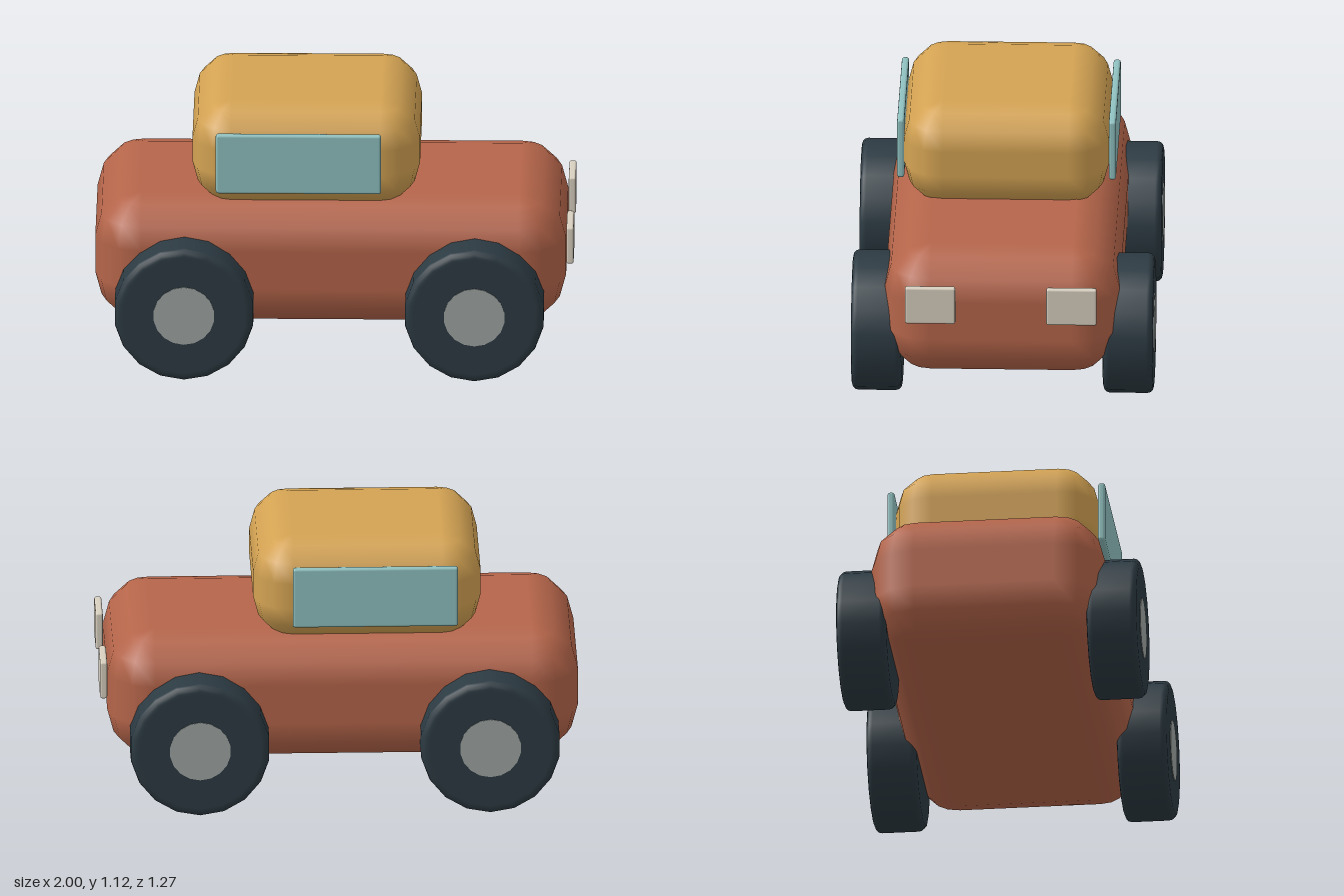
import * as THREE from 'three';

const paint = (color) => new THREE.MeshStandardMaterial({ color });

// Box with edges rounded in three 30-degree steps: a sphere split into octants and pulled apart
function softBox(w, h, d, r) {
  const geo = new THREE.SphereGeometry(1, 16, 9);
  const pos = geo.attributes.position, nor = geo.attributes.normal;
  const step = Math.PI / 6;
  for (let i = 0; i < pos.count; i++) {
    const col = i % 17, row = Math.floor(i / 17);
    const quarter = Math.floor(col / 4) % 4;
    const u = (quarter * 3 + (col % 4)) * step;
    const upper = row < 5;
    const v = (upper ? Math.max(row - 1, 0) : Math.min(row - 2, 6)) * step;
    const n = new THREE.Vector3(-Math.cos(u) * Math.sin(v), Math.cos(v), Math.sin(u) * Math.sin(v));
    const sx = quarter === 0 || quarter === 3 ? -1 : 1;
    const sz = quarter < 2 ? 1 : -1;
    const cap = row === 0 || row === 9 ? 0 : 1; // centre of the flat top and bottom
    pos.setXYZ(i,
      cap * (sx * (w / 2 - r) + n.x * r),
      (upper ? 1 : -1) * (h / 2 - r) + n.y * r,
      cap * (sz * (d / 2 - r) + n.z * r));
    nor.setXYZ(i, n.x, n.y, n.z);
  }
  return geo;
}

function addPart(parent, name, geometry, material, x, y, z) {
  const mesh = new THREE.Mesh(geometry, material);
  mesh.name = name;
  mesh.position.set(x, y, z);
  parent.add(mesh);
  return mesh;
}

// Tyre with rounded shoulders, turned about the z axis
function tyreGeometry(radius, width, bevel) {
  const pts = [new THREE.Vector2(0, -width / 2), new THREE.Vector2(radius - bevel - 0.01, -width / 2)];
  for (const side of [-1, 1]) {
    for (let k = 0; k <= 3; k++) {
      const a = (side < 0 ? k - 3 : k) * Math.PI / 6;
      pts.push(new THREE.Vector2(radius - bevel + Math.cos(a) * bevel, side * (width / 2 - bevel) + Math.sin(a) * bevel));
    }
  }
  pts.push(new THREE.Vector2(radius - bevel - 0.01, width / 2), new THREE.Vector2(0, width / 2));
  return new THREE.LatheGeometry(pts, 18).rotateX(Math.PI / 2);
}

export function createModel() {
  const car = new THREE.Group();
  car.name = 'toyCar';

  const bodyPaint = paint(0xb5654a), roofPaint = paint(0xd4a353), rubber = paint(0x2c3a42);
  const metal = paint(0x9ea5a3), glass = paint(0x8fc1c0), lamp = paint(0xd8cfbf);

  // Body and cabin
  addPart(car, 'body', softBox(1.965, 0.555, 0.98, 0.195), bodyPaint, -0.0175, 0.4455, 0);
  addPart(car, 'cabin', softBox(0.95, 0.44, 0.855, 0.165), roofPaint, -0.12, 0.902, 0);

  const tyre = tyreGeometry(0.293, 0.21, 0.027);
  const hub = new THREE.CylinderGeometry(0.128, 0.128, 0.03, 18).rotateX(Math.PI / 2);
  const pane = softBox(0.69, 0.262, 0.03, 0.011);
  const light = softBox(0.03, 0.162, 0.21, 0.009);

  for (const side of [-1, 1]) {
    // Wheels
    for (const [end, x] of [['front', 0.587], ['rear', -0.625]]) {
      const wheel = new THREE.Group();
      wheel.name = end + (side > 0 ? 'LeftWheel' : 'RightWheel');
      wheel.position.set(x, 0.295, side * 0.525);
      addPart(wheel, 'tyre', tyre, rubber, 0, 0, 0);
      addPart(wheel, 'hub', hub, metal, 0, 0, side * 0.093);
      car.add(wheel);
    }
    // Side window and headlight
    addPart(car, 'sideWindow', pane, glass, -0.15, 0.905, side * 0.442);
    addPart(car, 'headlight', light, lamp, 0.983, 0.529, side * 0.295);
  }
  return car;
}
